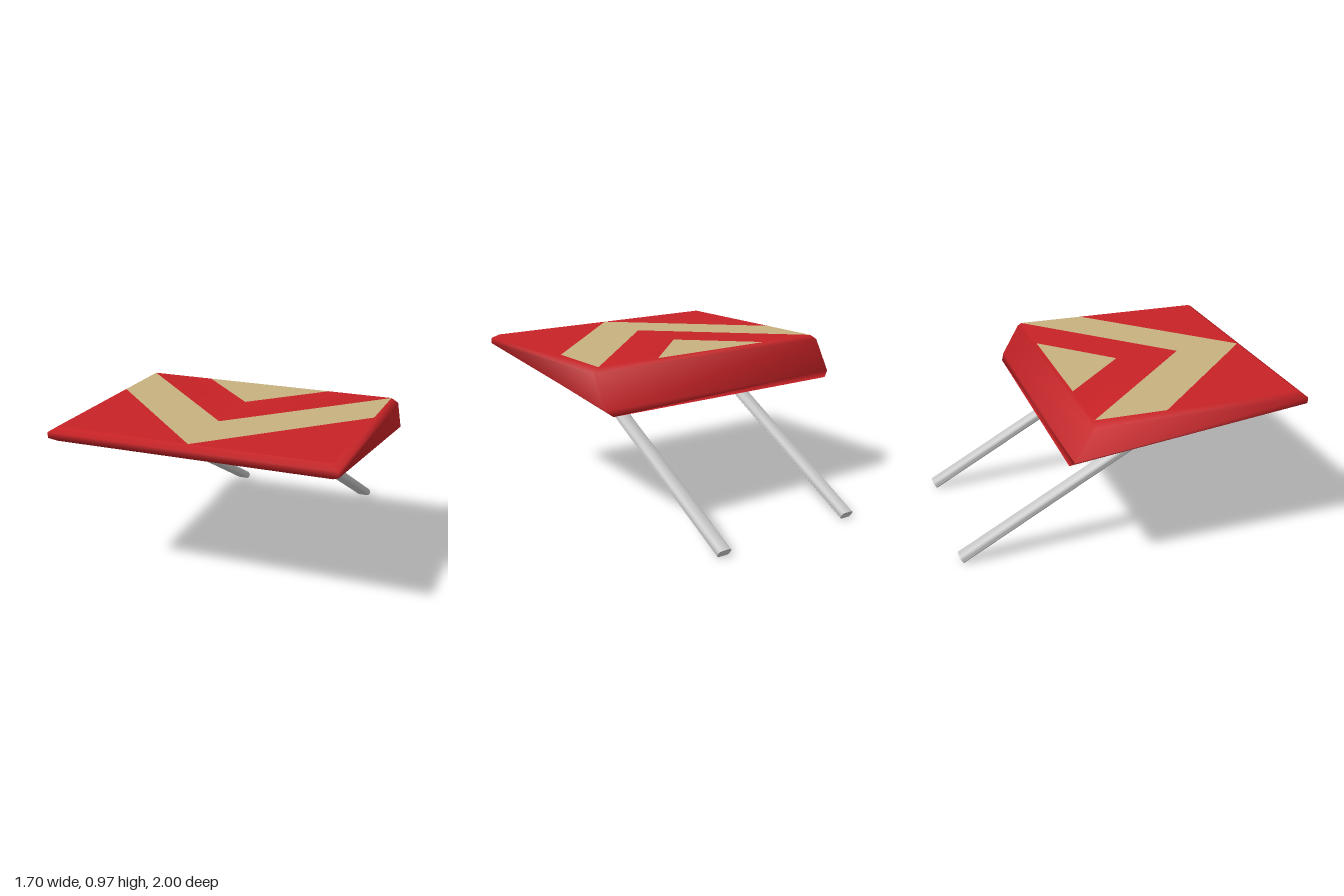
import * as THREE from 'three';
import { toCreasedNormals } from 'three/addons/utils/BufferGeometryUtils.js';

const red = new THREE.MeshStandardMaterial({ color: 0xc82226 });
const tan = new THREE.MeshStandardMaterial({ color: 0xc8b280 });
const grey = new THREE.MeshStandardMaterial({ color: 0xcccccc });

const TOP = 0.97;

// Bevelled wedge from four rectangular rings, with the red band inside the chevron
function wedgeGeometry() {
  // half width, back z, back y, front z, front y
  const rings = [
    [0.81, -0.27, TOP, 0.96, TOP],
    [0.85, -0.285, 0.94, 1, 0.945],
    [0.85, -0.395, 0.75, 1, 0.91],
    [0.81, -0.415, 0.715, 0.96, 0.885],
  ];
  const pos = [];
  for (const [w, zb, yb, zf, yf] of rings) {
    pos.push(-w, yb, zb, w, yb, zb, w, yf, zf, -w, yf, zf);
  }
  pos.push(-0.405, TOP, -0.27, 0.405, TOP, -0.27, 0, TOP, 0.135, 0, TOP, 0.54);

  const index = [];
  const quad = (a, b, c, d) => index.push(a, b, c, a, c, d);
  for (let r = 0; r < 3; r++) {
    for (let j = 0; j < 4; j++) {
      const k = (j + 1) % 4;
      quad(r * 4 + j, r * 4 + k, r * 4 + 4 + k, r * 4 + 4 + j);
    }
  }
  quad(12, 13, 14, 15); // underside
  quad(0, 19, 18, 16); // left and right arms of the red band
  quad(18, 19, 1, 17);

  const g = new THREE.BufferGeometry();
  g.setAttribute('position', new THREE.Float32BufferAttribute(pos, 3));
  g.setIndex(index);
  g.computeVertexNormals();
  return g;
}

// Flat piece of the top surface, given as [x, z] corners
function topPanel(name, corners, material) {
  const shape = new THREE.Shape(corners.map(([x, z]) => new THREE.Vector2(x, -z)));
  const g = new THREE.ShapeGeometry(shape).rotateX(-Math.PI / 2).translate(0, TOP, 0);
  const mesh = new THREE.Mesh(g, material);
  mesh.name = name;
  return mesh;
}

// Flat bar with chamfered edges, running along +z
function barGeometry(width, thick, chamfer, length) {
  const w = width / 2, t = thick / 2, c = chamfer;
  const shape = new THREE.Shape([
    [w, t - c], [w - c, t], [c - w, t], [-w, t - c],
    [-w, c - t], [c - w, -t], [w - c, -t], [w, c - t],
  ].map(([x, y]) => new THREE.Vector2(x, y)));
  const g = new THREE.ExtrudeGeometry(shape, { depth: length, bevelEnabled: false });
  return toCreasedNormals(g, Math.PI / 3);
}

export function createModel() {
  const model = new THREE.Group();
  model.name = 'wedgeOnStruts';

  const body = new THREE.Mesh(wedgeGeometry(), red);
  body.name = 'wedgeBody';
  model.add(body);

  // Top markings and front corners
  model.add(topPanel('chevron', [
    [-0.81, -0.27], [0, 0.54], [0.81, -0.27], [0.81, 0.15], [0, 0.96], [-0.81, 0.15],
  ], tan));
  model.add(topPanel('rearTriangle', [[-0.405, -0.27], [0, 0.135], [0.405, -0.27]], tan));
  for (const s of [-1, 1]) {
    model.add(topPanel(s > 0 ? 'leftFrontCorner' : 'rightFrontCorner',
      [[s * 0.81, 0.15], [s * 0.81, 0.96], [0, 0.96]], red));
  }

  // Two slanted support struts
  const bar = barGeometry(0.093, 0.048, 0.014, 1.64);
  for (const [name, x] of [['leftStrut', 0.48], ['rightStrut', -0.463]]) {
    const strut = new THREE.Mesh(bar, grey);
    strut.name = name;
    strut.position.set(x, 0.021, -0.988);
    strut.rotation.x = -THREE.MathUtils.degToRad(29.2);
    model.add(strut);
  }
  return model;
}
